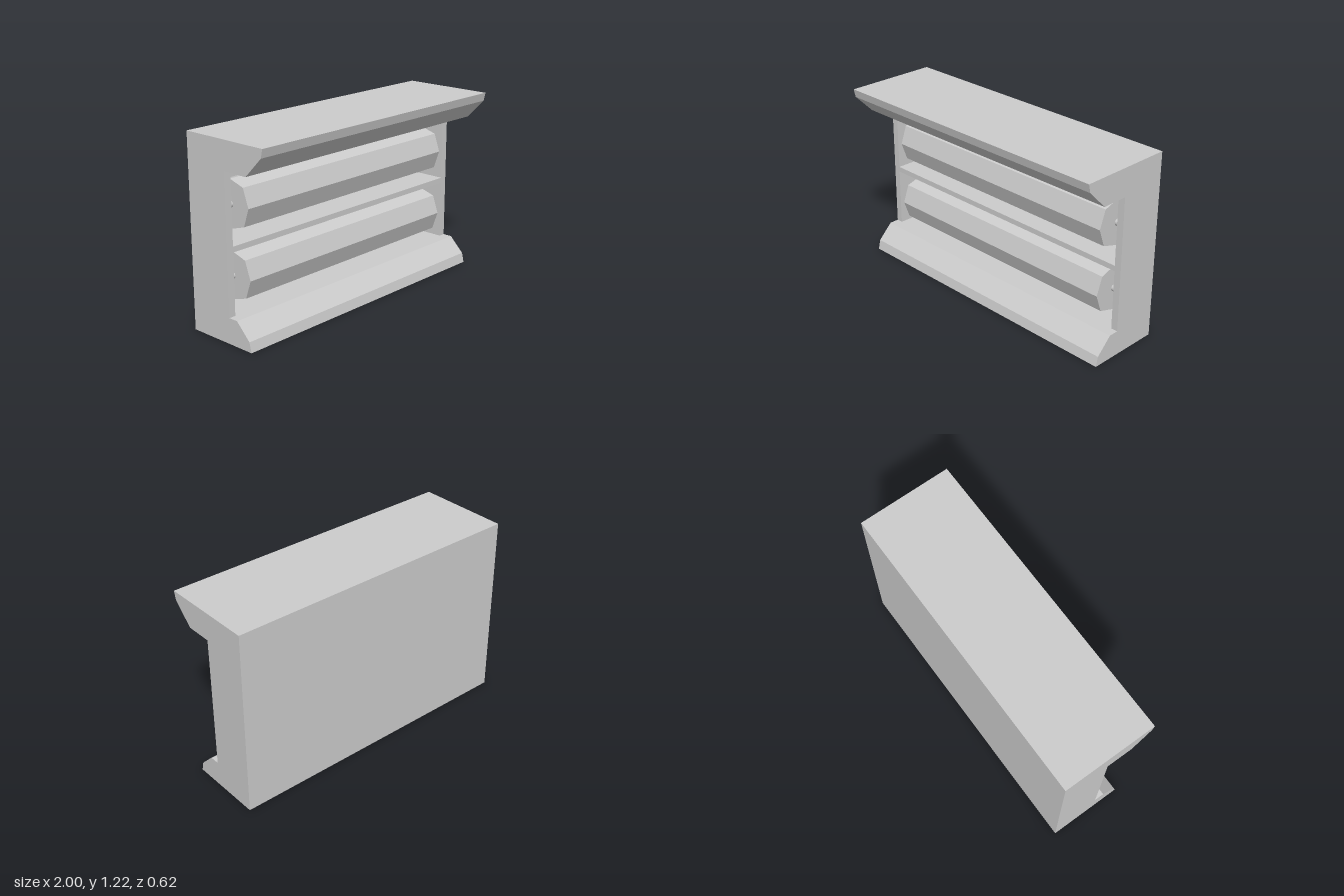
import * as THREE from 'three';

const material = new THREE.MeshStandardMaterial({ color: 0xcccccc, side: THREE.DoubleSide });

function addMesh(parent, geometry, name) {
  const mesh = new THREE.Mesh(geometry, material);
  mesh.name = name;
  parent.add(mesh);
  return mesh;
}

// Sweeps a (z, y) polyline along x from -half to +half, one flat quad per segment.
function sweep(points, half) {
  const position = [];
  for (let i = 0; i < points.length - 1; i++) {
    const [az, ay] = points[i], [bz, by] = points[i + 1];
    const a = [-half, ay, az], b = [half, ay, az], c = [half, by, bz], d = [-half, by, bz];
    position.push(...a, ...b, ...c, ...a, ...c, ...d);
  }
  const geometry = new THREE.BufferGeometry();
  geometry.setAttribute('position', new THREE.Float32BufferAttribute(position, 3));
  geometry.computeVertexNormals();
  return geometry;
}

// Flat end face of a (z, y) outline at the given x, facing +x or -x.
function endFace(points, x, facing) {
  const shape = new THREE.Shape(points.map(([z, y]) => new THREE.Vector2(-facing * z, y)));
  return new THREE.ShapeGeometry(shape).rotateY(facing * Math.PI / 2).translate(x, 0, 0);
}

function addEnds(parent, points, half, facing, name) {
  for (const side of [1, -1]) {
    addMesh(parent, endFace(points, side * half, side * facing), (side > 0 ? 'left' : 'right') + name);
  }
}

const BACK = -0.31, TOP = 1.215, LIP = 0.163, SOFFIT = 1.035;
const OPENING = 0.955, DEPTH = -0.28;

export function createModel() {
  const model = new THREE.Group();
  model.name = 'rollerCabinet';

  // Hollow housing, open underneath
  const housing = new THREE.Group();
  housing.name = 'housing';
  model.add(housing);
  const sill = [[0.18, 0], [0.165, 0.063], [0.065, LIP], [0, LIP]];
  const canopy = [[0, SOFFIT], [0.172, SOFFIT], [0.297, 1.16], [0.31, TOP], [BACK, TOP]];
  const back = [[BACK, TOP], [BACK, 0]];
  addMesh(housing, sweep(sill, 1), 'sill');
  addMesh(housing, sweep(canopy, 1), 'canopy');
  addMesh(housing, sweep(back, 1), 'backPanel');
  addEnds(housing, [...sill, ...canopy, [BACK, 0]], 1, 1, 'SidePanel');

  // Front frame around the two openings
  const bays = [{ bottom: LIP, top: 0.55, axis: 0.36 }, { bottom: 0.585, top: 1.005, axis: 0.795 }];
  const stileWidth = 1 - OPENING;
  for (const side of [1, -1]) {
    const stile = new THREE.PlaneGeometry(stileWidth, SOFFIT - LIP);
    stile.translate(side * (1 - stileWidth / 2), (SOFFIT + LIP) / 2, 0);
    addMesh(housing, stile, side > 0 ? 'leftStile' : 'rightStile');
  }
  addMesh(housing, sweep([[0, bays[0].top], [0, bays[1].bottom]], OPENING), 'middleRail');
  addMesh(housing, sweep([[0, bays[1].top], [0, SOFFIT]], OPENING), 'topRail');

  bays.forEach(({ bottom, top, axis }, index) => {
    const bay = new THREE.Group();
    bay.name = index ? 'upperBay' : 'lowerBay';
    model.add(bay);

    // Recess
    const walls = [[0, bottom], [DEPTH, bottom], [DEPTH, top], [0, top]];
    addMesh(bay, sweep(walls, OPENING), 'recess');
    addEnds(bay, walls, OPENING, -1, 'RecessWall');

    // Eight-sided roller with a corner facing forward
    const roller = new THREE.Group();
    roller.name = 'roller';
    roller.position.set(0, axis, -0.108);
    bay.add(roller);
    const outline = [[0, -0.15], [0.108, -0.117], [0.15, 0], [0.108, 0.117],
      [0, 0.15], [-0.108, 0.117], [-0.15, 0], [-0.108, -0.117]];
    addMesh(roller, sweep([...outline, outline[0]], 0.868), 'drum');
    addEnds(roller, outline, 0.868, 1, 'DrumEnd');

    // Axle stubs between the drum and the recess walls
    for (const side of [1, -1]) {
      const axle = new THREE.CylinderGeometry(0.021, 0.021, OPENING - 0.868, 12, 1, true);
      axle.rotateZ(Math.PI / 2).translate(side * (OPENING + 0.868) / 2, 0, 0);
      addMesh(roller, axle, side > 0 ? 'leftAxle' : 'rightAxle');
    }
  });

  return model;
}
